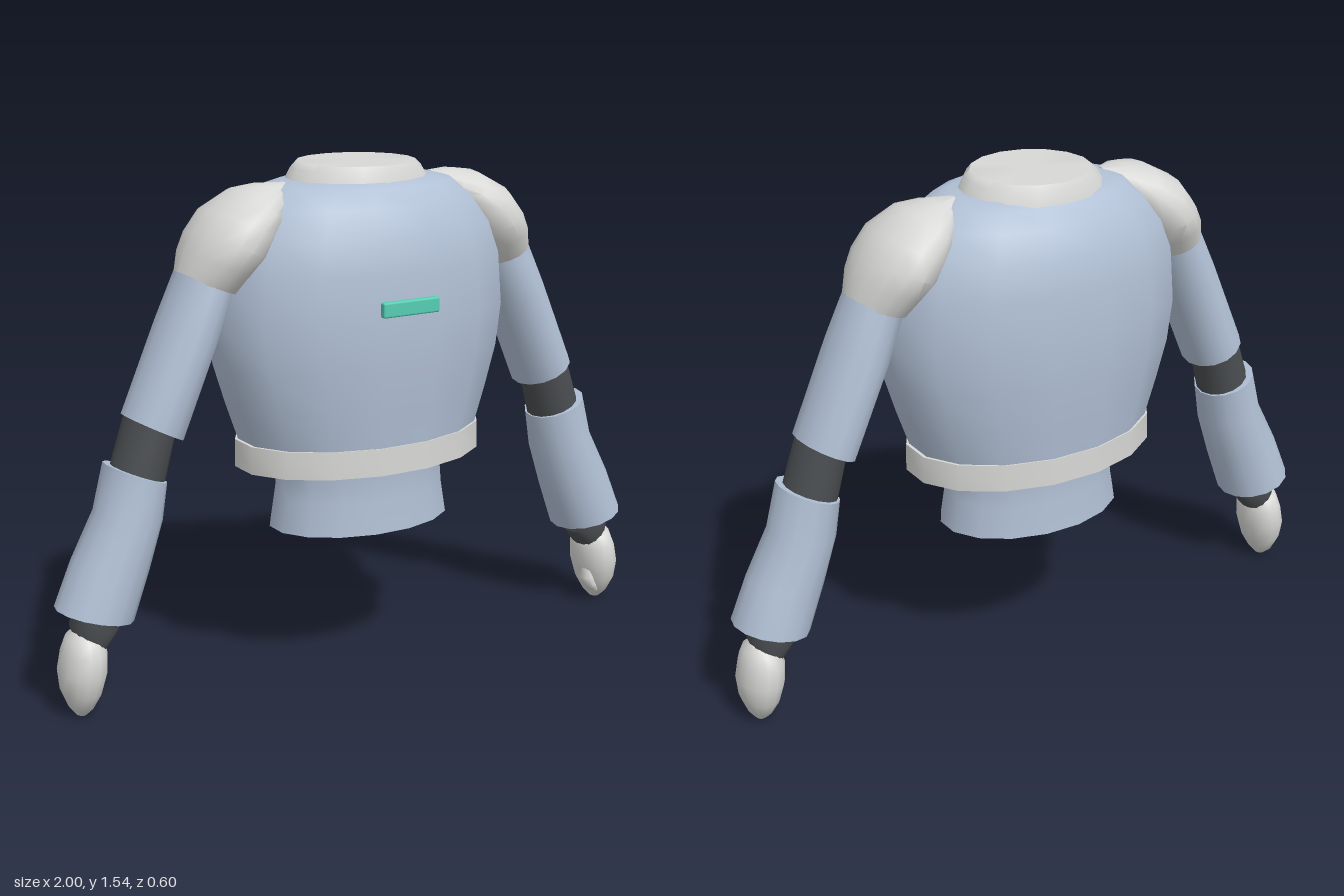
import * as THREE from 'three';
import { toCreasedNormals } from 'three/addons/utils/BufferGeometryUtils.js';
import { RoundedBoxGeometry } from 'three/addons/geometries/RoundedBoxGeometry.js';

const mat = (name, color) => {
  const m = new THREE.MeshStandardMaterial({ color });
  m.name = name;
  return m;
};

// Capped skin over elliptical sections: [outerX, outerY, innerX, innerY, halfDepth].
// side = -1 mirrors in x; flat = true turns flat facets to the front and sides.
function loft(sections, { n = 14, side = 1, zc = 0, flat = false } = {}) {
  const grow = flat ? 1 / Math.cos(Math.PI / n) : 1;
  const rings = sections.map(([ox, oy, ix, iy, d]) => {
    const ring = [];
    for (let j = 0; j < n; j++) {
      const a = ((j + (flat ? 0.5 : 0)) / n) * Math.PI * 2;
      const c = Math.cos(a) * grow * 0.5;
      ring.push([side * ((ox + ix) / 2 + (ox - ix) * c), (oy + iy) / 2 + (oy - iy) * c, zc + d * grow * Math.sin(a)]);
    }
    return ring;
  });
  const pos = [];
  const tri = (a, b, c) => (side > 0 ? pos.push(...a, ...b, ...c) : pos.push(...a, ...c, ...b));
  const middle = ([ox, oy, ix, iy]) => [side * (ox + ix) / 2, (oy + iy) / 2, zc];
  const last = rings.length - 1;
  for (let j = 0; j < n; j++) {
    const k = (j + 1) % n;
    for (let i = 0; i < last; i++) {
      tri(rings[i][j], rings[i][k], rings[i + 1][j]);
      tri(rings[i][k], rings[i + 1][k], rings[i + 1][j]);
    }
    tri(middle(sections[0]), rings[0][k], rings[0][j]);
    tri(middle(sections[last]), rings[last][j], rings[last][k]);
  }
  const g = new THREE.BufferGeometry();
  g.setAttribute('position', new THREE.Float32BufferAttribute(pos, 3));
  return toCreasedNormals(g, 0.8);
}

// Level body section: height, half width, half depth
const level = ([y, w, d]) => [w, y, -w, y, d];

export function createModel() {
  const model = new THREE.Group();
  model.name = 'armouredUpperBody';

  const blue = mat('blueGreyShell', 0xb2c1d6);
  const pale = mat('paleGreyTrim', 0xd8d8d6);
  const dark = mat('darkJoint', 0x4a4d50);
  const teal = mat('tealBadge', 0x56cdb2);

  const add = (parent, name, geometry, material) => {
    const mesh = new THREE.Mesh(geometry, material);
    mesh.name = name;
    parent.add(mesh);
    return mesh;
  };

  // Body, each part listed from top to bottom
  const body = { n: 16, flat: true, zc: -0.005 };
  add(model, 'torso', loft([
    [1.495, 0.24, 0.17], [1.48, 0.3, 0.195], [1.43, 0.37, 0.232], [1.35, 0.43, 0.27],
    [1.25, 0.468, 0.285], [1.1, 0.48, 0.292], [0.97, 0.462, 0.286], [0.85, 0.425, 0.275], [0.72, 0.38, 0.262],
  ].map(level), body), blue);
  add(model, 'belt', loft([[0.735, 0.395, 0.267], [0.652, 0.397, 0.267]].map(level), body), pale);
  add(model, 'waist', loft([
    [0.67, 0.275, 0.198], [0.63, 0.265, 0.192], [0.55, 0.272, 0.194], [0.45, 0.29, 0.2],
  ].map(level), { ...body, zc: -0.003 }), blue);
  add(model, 'collar', loft([
    [1.541, 0.18, 0.17], [1.525, 0.198, 0.178], [1.483, 0.225, 0.187],
  ].map(level), { n: 16, zc: -0.017 }), pale);

  // Chest badge
  add(model, 'chestBadge', new RoundedBoxGeometry(0.19, 0.045, 0.03, 2, 0.006), teal).position.set(-0.005, 1.153, 0.287);

  // Arms, mirrored
  for (const side of [1, -1]) {
    const arm = new THREE.Group();
    arm.name = side > 0 ? 'leftArm' : 'rightArm';
    model.add(arm);
    const part = (name, sections, material, n = 14) =>
      add(arm, name, loft(sections, { side, n, zc: -0.005 }), material);

    part('shoulderPad', [
      [0.25, 1.495, 0.25, 1.45, 0.03], [0.33, 1.497, 0.28, 1.4, 0.1], [0.4, 1.487, 0.3, 1.37, 0.142],
      [0.495, 1.435, 0.32, 1.33, 0.166], [0.545, 1.37, 0.345, 1.29, 0.172],
      [0.573, 1.32, 0.39, 1.24, 0.15], [0.595, 1.255, 0.43, 1.19, 0.112],
    ], pale, 16);
    part('upperArm', [
      [0.593, 1.265, 0.44, 1.19, 0.11], [0.655, 1.13, 0.49, 1.06, 0.12], [0.77, 0.87, 0.605, 0.785, 0.113],
    ], blue);
    part('elbow', [[0.755, 0.9, 0.62, 0.83, 0.088], [0.83, 0.68, 0.675, 0.62, 0.088]], dark);
    part('forearm', [
      [0.834, 0.738, 0.658, 0.668, 0.105], [0.87, 0.6, 0.675, 0.56, 0.108],
      [0.945, 0.46, 0.72, 0.42, 0.112], [1.0, 0.33, 0.775, 0.273, 0.118],
    ], blue);
    part('wrist', [
      [0.94, 0.34, 0.83, 0.31, 0.07], [0.96, 0.275, 0.82, 0.25, 0.075], [0.95, 0.22, 0.86, 0.2, 0.06],
    ], dark);
    part('hand', [
      [0.955, 0.262, 0.885, 0.245, 0.045], [0.974, 0.24, 0.868, 0.225, 0.07], [0.988, 0.2, 0.86, 0.19, 0.087],
      [1.0, 0.14, 0.863, 0.13, 0.091], [0.995, 0.08, 0.88, 0.07, 0.076],
      [0.975, 0.03, 0.905, 0.025, 0.048], [0.955, 0.004, 0.925, 0.002, 0.02],
    ], pale);

    // Small thumb folded against the left hand only
    if (side > 0) {
      part('thumb', [
        [0.9, 0.13, 0.872, 0.12, 0.02], [0.91, 0.09, 0.862, 0.08, 0.03],
        [0.92, 0.06, 0.878, 0.05, 0.03], [0.93, 0.035, 0.905, 0.03, 0.02],
      ], pale, 10).position.z = 0.025;
    }
  }
  return model;
}
